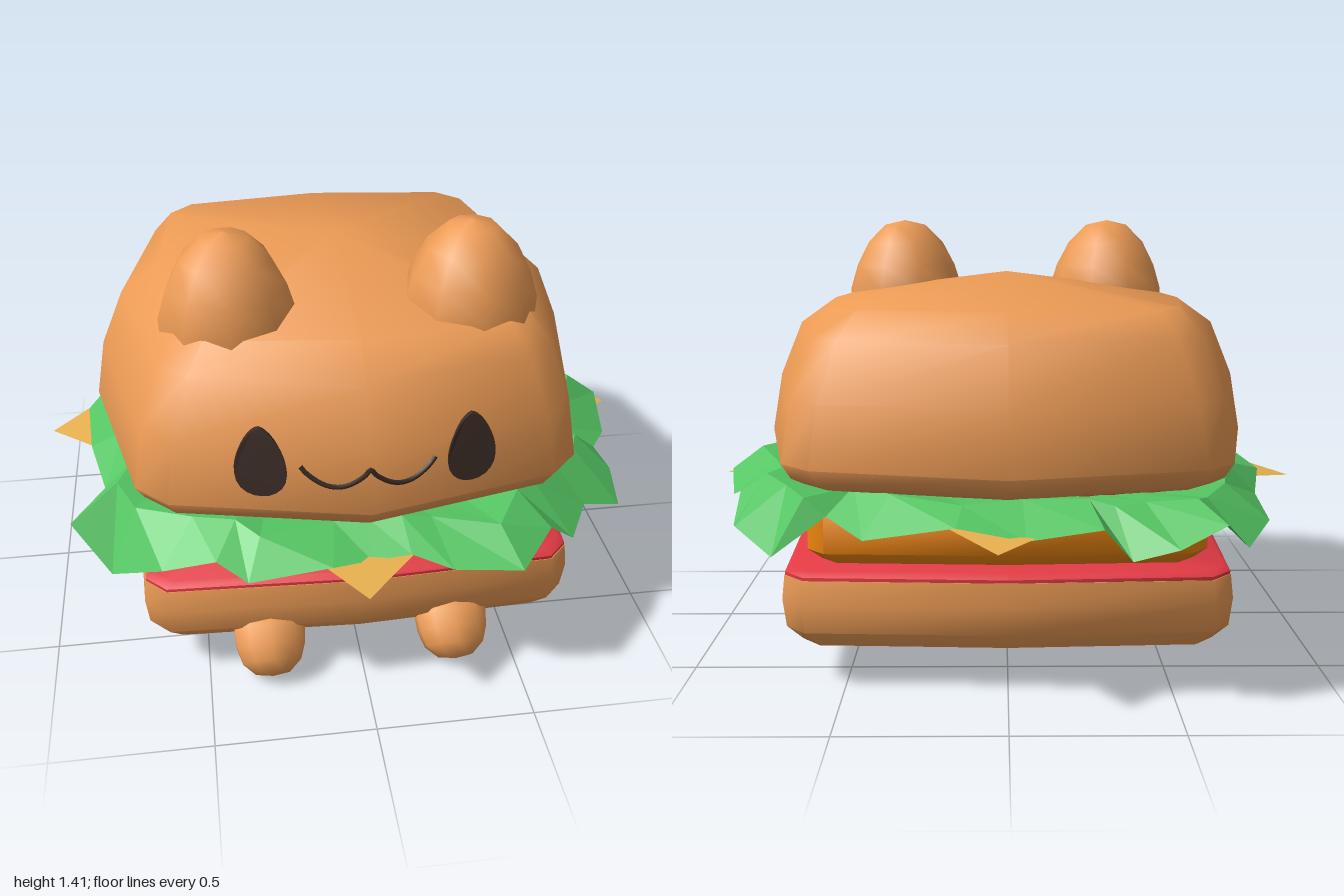
import * as THREE from 'three';
import { toCreasedNormals } from 'three/addons/utils/BufferGeometryUtils.js';

const paint = (color, extra = {}) => new THREE.MeshStandardMaterial({ color, ...extra });

function add(parent, name, geometry, material) {
  const mesh = new THREE.Mesh(geometry, material);
  mesh.name = name;
  parent.add(mesh);
  return mesh;
}

function indexed(points, faces) {
  const g = new THREE.BufferGeometry();
  g.setAttribute('position', new THREE.Float32BufferAttribute(points.flat(), 3));
  g.setIndex(faces);
  g.computeVertexNormals();
  return g;
}

// Bulging square outline with cut corners, one quarter turned four times
function squareOutline(near, far) {
  const outline = [];
  for (let q = 0; q < 4; q++) {
    for (let [x, z] of [[0, 1], [near, far], [far, near]]) {
      for (let i = 0; i < q; i++) [x, z] = [z, -x];
      outline.push([x, z]);
    }
  }
  return outline;
}
const softSquare = squareOutline(0.72, 0.84);
const sharpSquare = squareOutline(0.87, 0.96);

// Stacks outline rings [y, size, corner size] from bottom to top and closes both ends
function slab(outline, rings, topY = rings[rings.length - 1][0]) {
  const n = outline.length, points = [], faces = [];
  for (const [y, s, corner = 1] of rings) {
    outline.forEach(([x, z], j) => {
      const f = j % 3 ? s * corner : s;
      points.push([x * f, y, z * f]);
    });
  }
  const bottom = points.push([0, rings[0][0], 0]) - 1;
  const top = points.push([0, topY, 0]) - 1;
  const last = (rings.length - 1) * n;
  for (let j = 0; j < n; j++) {
    const k = (j + 1) % n;
    faces.push(bottom, k, j, top, last + j, last + k);
    for (let r = 0; r < last; r += n) {
      faces.push(r + j, r + k, r + n + k, r + j, r + n + k, r + n + j);
    }
  }
  return toCreasedNormals(indexed(points, faces), 0.8);
}

// Lettuce rim: x, y, z around the edge
const rim = [
  [0, 0.53, 0.85], [0.12, 0.54, 0.85], [0.24, 0.51, 0.9], [0.45, 0.5, 0.92], [0.57, 0.54, 0.78],
  [0.66, 0.46, 0.74], [0.74, 0.48, 0.6], [0.88, 0.43, 0.55], [0.88, 0.5, 0.44], [0.85, 0.53, 0.35],
  [0.93, 0.5, 0.22], [0.97, 0.53, 0], [0.93, 0.48, -0.18], [0.87, 0.53, -0.34], [0.86, 0.46, -0.5],
  [0.82, 0.5, -0.66], [0.69, 0.44, -0.78], [0.54, 0.54, -0.7], [0.42, 0.5, -0.82], [0.15, 0.55, -0.87],
  [-0.05, 0.52, -0.9], [-0.27, 0.55, -0.89], [-0.35, 0.46, -0.9], [-0.48, 0.5, -0.92], [-0.62, 0.56, -0.88],
  [-0.69, 0.48, -0.83], [-0.8, 0.5, -0.6], [-0.82, 0.51, -0.3], [-0.87, 0.55, -0.1], [-0.85, 0.55, 0.15],
  [-0.8, 0.52, 0.36], [-0.9, 0.53, 0.55], [-0.78, 0.4, 0.65], [-0.62, 0.5, 0.78], [-0.46, 0.55, 0.82],
  [-0.37, 0.51, 0.88], [-0.12, 0.54, 0.88],
];

function lettuceGeometry() {
  const n = rim.length, points = [[0, 0.566, 0]], faces = [];
  rim.forEach(([x, , z]) => points.push([x * 0.6, 0.575, z * 0.6]));
  rim.forEach(([x, , z], j) => {
    const f = 0.86 + 0.03 * Math.sin(j * 2.4);
    points.push([x * f, 0.602 + 0.01 * Math.sin(j * 1.9), z * f]);
  });
  points.push(...rim);
  for (let j = 0; j < n; j++) {
    const a = 1 + j, b = 1 + (j + 1) % n;
    faces.push(0, a, b);
    for (const o of [0, n]) faces.push(a + o, a + n + o, b + n + o, a + o, b + n + o, b + o);
  }
  return indexed(points, faces);
}

// Square slice turned by 45 degrees, its four tips hanging down
function cheeseGeometry() {
  const points = [[0, 0.563, 0]], faces = [];
  for (let q = 0; q < 4; q++) {
    for (let [x, y, z] of [[-0.3, 0.563, 0.68], [-0.03, 0.51, 0.995], [0.3, 0.563, 0.68]]) {
      for (let i = 0; i < q; i++) [x, z] = [z, -x];
      points.push([x, y, z]);
    }
    const a = 1 + q * 3;
    faces.push(a, a + 1, a + 2, 0, a, a + 2, 0, a + 2, 1 + (q * 3 + 3) % 12);
  }
  return indexed(points, faces);
}

// Front surface of the upper bun
function faceZ(x, y) {
  const middle = y < 0.87 ? 0.82 - (y - 0.675) * 0.18 : 0.785 - (y - 0.87) * 0.28;
  return middle - 0.22 * Math.abs(x);
}

function eyeGeometry(cx) {
  const s = new THREE.Shape();
  s.moveTo(0, 0.105);
  s.bezierCurveTo(0.035, 0.1, 0.078, 0.03, 0.076, -0.03);
  s.bezierCurveTo(0.074, -0.125, -0.074, -0.125, -0.076, -0.03);
  s.bezierCurveTo(-0.078, 0.03, -0.035, 0.1, 0, 0.105);
  const g = new THREE.ExtrudeGeometry(s, { depth: 0.02, bevelEnabled: false, curveSegments: 10 });
  const p = g.attributes.position;
  for (let i = 0; i < p.count; i++) {
    const x = p.getX(i) + cx, y = p.getY(i) + 0.825;
    p.setXYZ(i, x, y, faceZ(x, y) + p.getZ(i) - 0.012);
  }
  g.computeVertexNormals();
  return g;
}

const lathe = (profile, sides) =>
  new THREE.LatheGeometry(profile.map(([r, y]) => new THREE.Vector2(r, y)), sides);

export function createModel() {
  const model = new THREE.Group();
  model.name = 'catBurger';
  const bun = paint(0xec9b55), red = paint(0xe23a44), dark = paint(0x3a2b25);

  // Layers from the bottom up
  add(model, 'lowerBun', slab(sharpSquare,
    [[0.115, 0.665], [0.17, 0.71], [0.26, 0.72], [0.335, 0.712]]), bun);
  add(model, 'lowerTomato', slab(sharpSquare, [[0.33, 0.71], [0.345, 0.71], [0.36, 0.69]]), red);
  add(model, 'patty', slab(sharpSquare,
    [[0.355, 0.6], [0.4, 0.645], [0.52, 0.645], [0.56, 0.61]]), paint(0xee860e));
  add(model, 'cheese', cheeseGeometry(), paint(0xe8b04f, { side: THREE.DoubleSide, flatShading: true }));
  add(model, 'lettuce', lettuceGeometry(), paint(0x55c663, { side: THREE.DoubleSide, flatShading: true }));
  add(model, 'upperTomato', slab(softSquare, [[0.58, 0.68], [0.608, 0.68]]), red);
  add(model, 'upperBun', slab(softSquare, [
    [0.602, 0.75], [0.625, 0.79], [0.675, 0.82], [0.87, 0.785], [1.05, 0.71], [1.135, 0.59, 1.08],
  ], 1.225), bun);

  // Ears, feet and eyes in mirrored pairs
  const earProfile = [[0.21, 1.04], [0.213, 1.14], [0.185, 1.23], [0.14, 1.315], [0.075, 1.378], [0, 1.395]];
  const footProfile = [[0, -0.195], [0.05, -0.186], [0.085, -0.15], [0.1, -0.1], [0.105, -0.04], [0.06, 0.03]];
  for (const [side, sx] of [['left', 1], ['right', -1]]) {
    const ear = add(model, side + 'Ear', lathe(earProfile, 9), bun);
    ear.position.set(0.375 * sx, 0, 0.35);
    const foot = add(model, side + 'Foot', lathe(footProfile, 10), bun);
    foot.position.set(0.3 * sx, 0.15, 0.62);
    foot.rotation.x = -0.85;
    foot.scale.x = 1.15;
    add(model, side + 'Eye', eyeGeometry(0.315 * sx), dark);
  }

  // Mouth of two hanging arcs
  const arcs = [];
  for (let i = 0; i <= 32; i++) {
    const x = -0.2 + i * 0.0125;
    const y = 0.82 - 0.06 * Math.abs(Math.sin(i * Math.PI / 16)) ** 0.8;
    arcs.push(new THREE.Vector3(x, y, faceZ(x, y)));
  }
  add(model, 'mouth', new THREE.TubeGeometry(new THREE.CatmullRomCurve3(arcs), 64, 0.008, 6), dark);
  return model;
}
